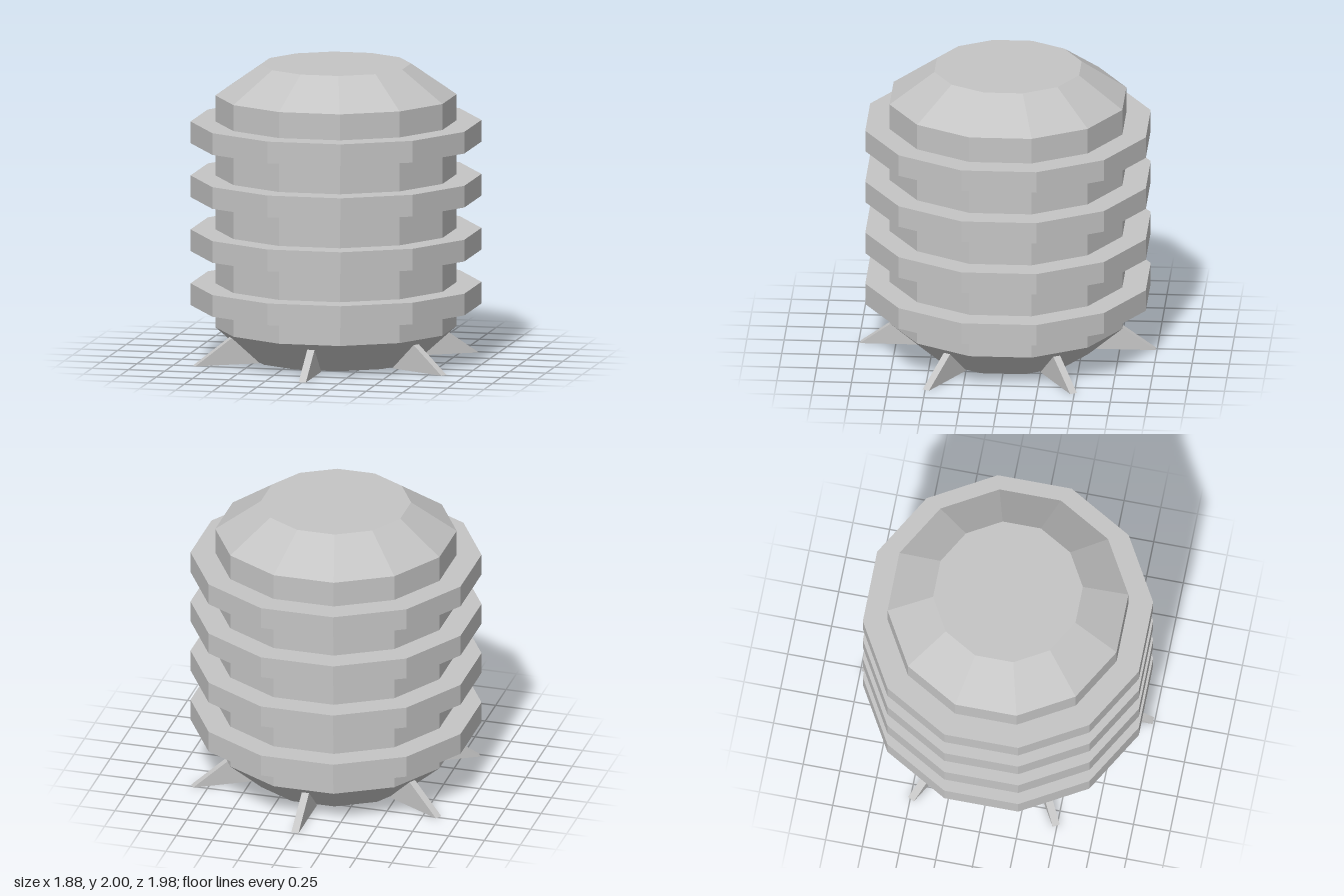
import * as THREE from 'three';

const SIDES = 12;
const APOTHEM = Math.cos(Math.PI / SIDES);

export function createModel() {
  const group = new THREE.Group();
  const grey = new THREE.MeshStandardMaterial({ color: 0xc4c4c4 });
  grey.name = 'light grey';
  grey.flatShading = true;

  // Twelve-sided section with a flat side facing front, sized by its half widths
  const section = (name, top, bottom, y0, y1, open) => {
    const geo = new THREE.CylinderGeometry(top / APOTHEM, bottom / APOTHEM, y1 - y0, SIDES, 1, open, Math.PI / SIDES);
    geo.translate(0, (y0 + y1) / 2, 0);
    const mesh = new THREE.Mesh(geo, grey);
    mesh.name = name;
    group.add(mesh);
  };

  // Tank: tapered base, straight body, sloped roof
  const profile = [[0.55, 0.01], [0.78, 0.22], [0.78, 1.79], [0.485, 2]];
  ['base', 'body', 'roof'].forEach((name, i) => {
    const [r0, y0] = profile[i], [r1, y1] = profile[i + 1];
    section(name, r1, r0, y0, y1, true);
  });

  // End caps
  for (const [name, r, y, turn] of [['roofCap', 0.485, 2, -1], ['baseCap', 0.55, 0.01, 1]]) {
    const geo = new THREE.CircleGeometry(r / APOTHEM, SIDES, Math.PI / SIDES);
    geo.rotateX(turn * Math.PI / 2).translate(0, y, 0);
    const cap = new THREE.Mesh(geo, grey);
    cap.name = name;
    group.add(cap);
  }

  // Four protruding rings
  for (let i = 0; i < 4; i++) {
    const y = 0.37 + i * 0.3657;
    section('ring', 0.94, 0.94, y, y + 0.147, false);
  }

  // Six triangular feet, spaced evenly from the front
  const outline = new THREE.Shape([
    new THREE.Vector2(0.54, 0), new THREE.Vector2(0.99, 0), new THREE.Vector2(0.735, 0.18),
  ]);
  const footGeo = new THREE.ExtrudeGeometry(outline, { depth: 0.05, bevelEnabled: false });
  footGeo.translate(0, 0, -0.025).rotateY(-Math.PI / 2);
  for (let i = 0; i < 6; i++) {
    const foot = new THREE.Mesh(footGeo, grey);
    foot.name = 'foot';
    foot.rotation.y = i * Math.PI / 3;
    group.add(foot);
  }
  return group;
}
